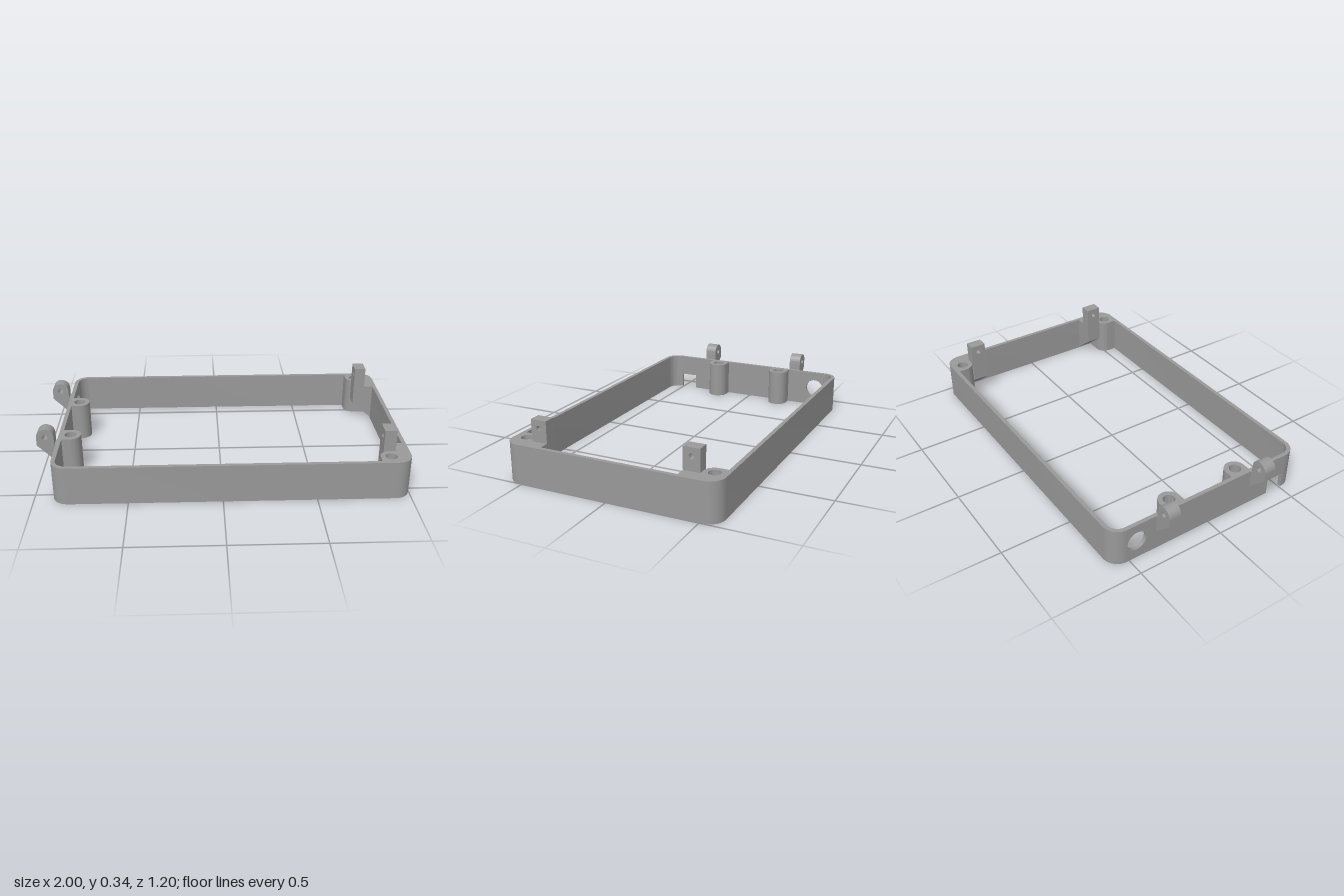
import * as THREE from 'three';
import { toCreasedNormals } from 'three/addons/utils/BufferGeometryUtils.js';

const H = 0.215, PI = Math.PI;
const grey = new THREE.MeshStandardMaterial({ color: 0x999999 });
grey.name = 'grey plastic';

// Points along an arc
function arc(cx, cy, r, a0, a1, n = 12) {
  return Array.from({ length: n + 1 }, (_, i) => {
    const a = a0 + (a1 - a0) * i / n;
    return [cx + r * Math.cos(a), cy + r * Math.sin(a)];
  });
}

// Extrudes an outline with round holes [x, y, r]; turn maps the plane into place
function prism(name, pts, depth, holes, turn) {
  const shape = new THREE.Shape(pts.map(p => new THREE.Vector2(p[0], p[1])));
  for (const [x, y, r] of holes) {
    shape.holes.push(new THREE.Path(arc(x, y, r, 0, 2 * PI, 32).slice(0, -1).map(p => new THREE.Vector2(...p))));
  }
  let geo = new THREE.ExtrudeGeometry(shape, { depth, bevelEnabled: false });
  if (turn === 'up') geo.rotateX(-PI / 2);    // outline (x, -z), depth along y
  if (turn === 'side') geo.rotateY(PI / 2);   // outline (-z, y), depth along x
  geo = toCreasedNormals(geo, 0.6);
  const mesh = new THREE.Mesh(geo, grey);
  mesh.name = name;
  return mesh;
}

// Screw boss: deep recess on top, pierced floor, wider recess underneath
function boss(name, pts, cx, cy) {
  const g = new THREE.Group();
  g.name = name;
  for (const [y0, y1, r] of [[0, 0.035, 0.045], [0.035, 0.06, 0.018], [0.06, H, 0.032]]) {
    const layer = prism('bossLayer', pts, y1 - y0, [[cx, cy, r]], 'up');
    layer.position.y = y0;
    g.add(layer);
  }
  return g;
}

export function createModel() {
  const model = new THREE.Group();
  model.name = 'frame';

  // Three walls with rounded corners, open at the hinge side
  const R = 0.085, r = 0.063, c = 0.515;
  const outer = [
    ...arc(-0.815, -c, R, PI, 1.5 * PI), ...arc(0.915, -c, R, -PI / 2, 0),
    ...arc(0.915, c, R, 0, PI / 2), ...arc(-0.815, c, R, PI / 2, PI)];
  const inner = [
    ...arc(-0.815, c, r, PI, PI / 2), ...arc(0.915, c, r, PI / 2, 0),
    ...arc(0.915, -c, r, 0, -PI / 2), ...arc(-0.815, -c, r, 1.5 * PI, PI)];
  model.add(prism('rimWalls', [...outer, ...inner], H, [], 'up'));

  // Hinge-side wall with a cable hole and a bottom notch
  const hingeWall = prism('hingeWall', [
    [-c, 0], [-0.51, 0], [-0.51, 0.09], [-0.405, 0.09], [-0.405, 0],
    [c, 0], [c, H], [-c, H]], 0.022, [[0.455, 0.11, 0.056]], 'side');
  hingeWall.position.x = -0.9;
  model.add(hingeWall);

  for (const s of [1, -1]) {
    const flip = pts => pts.map(([x, y]) => [x, y * s]);

    // Corner boss
    model.add(boss('cornerBoss', flip([
      [0.832, 0.59], ...arc(0.89, 0.53, 0.058, PI, 1.5 * PI), [0.99, 0.472],
      ...arc(0.915, c, 0.075, 0, PI / 2)]), 0.89, 0.53 * s));

    // Boss on the hinge wall
    model.add(boss('hingeWallBoss', flip([
      [-0.89, 0.157], ...arc(-0.835, 0.216, 0.059, -PI / 2, PI / 2, 24), [-0.89, 0.275]]),
      -0.835, 0.216 * s));

    // Hinge lug with a sloped root
    const lug = prism('hingeLug', [
      [-0.89, 0.105], [-0.89, H], [-0.906, H], ...arc(-0.953, 0.262, 0.047, 0, PI, 24), [-1, H]],
      0.07, [[-0.953, 0.262, 0.016]]);
    lug.position.z = s * 0.305 - 0.035;
    model.add(lug);

    // Latch post: pierced upright on a sloped bracket
    const z0 = -0.472, z1 = -0.382;
    const upright = prism('latchPost', flip([[z0, 0], [z1, 0], [z1, 0.335], [z0, 0.335]]
      .map(([z, y]) => [z * s, y * s + H * s * (y === 0 ? 1 : 0)])),
      0.065, [[-0.427 * s, 0.29, 0.014]], 'side');
    upright.position.x = 0.86;
    model.add(upright);
    const bracket = prism('latchBracket', [
      [0.86, 0.1], [0.985, 0], [0.985, H], [0.86, H]], 0.09, []);
    bracket.position.z = s * 0.427 - 0.045;
    model.add(bracket);
  }
  return model;
}
